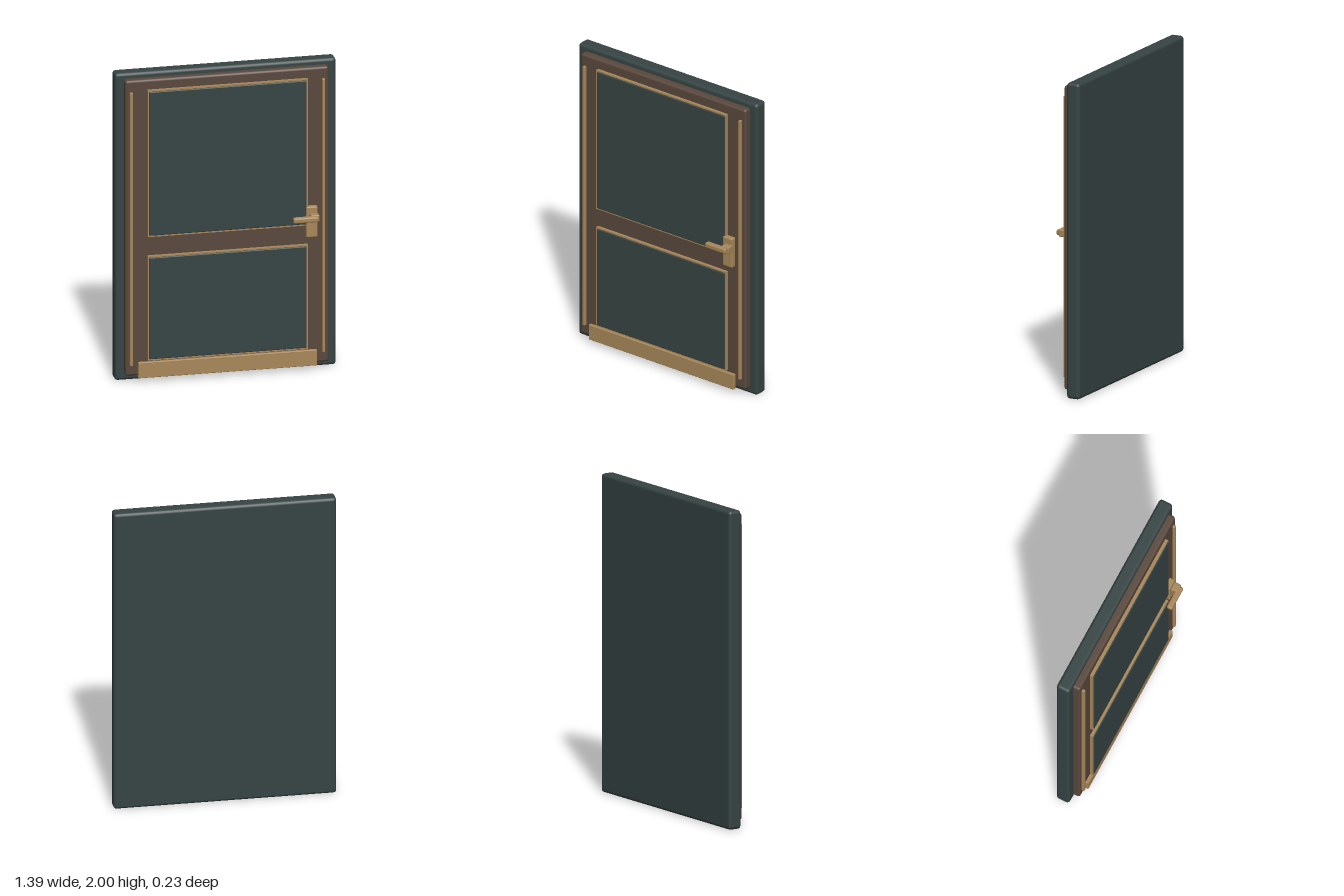
import * as THREE from 'three';
import { RoundedBoxGeometry } from 'three/addons/geometries/RoundedBoxGeometry.js';

const material = (name, color) => {
  const m = new THREE.MeshStandardMaterial({ color });
  m.name = name;
  return m;
};

export function createModel() {
  const door = new THREE.Group();
  door.name = 'door';
  const slate = material('dark slate', 0x364443);
  const wood = material('brown wood', 0x5a483d);
  const brass = material('aged brass', 0xa9885a);

  // Rounded block given by its extents on each axis
  const block = (name, mat, [x0, x1], [y0, y1], [z0, z1], radius, parent = door) => {
    const mesh = new THREE.Mesh(new RoundedBoxGeometry(x1 - x0, y1 - y0, z1 - z0, 2, radius), mat);
    mesh.position.set((x0 + x1) / 2, (y0 + y1) / 2, (z0 + z1) / 2);
    mesh.name = name;
    parent.add(mesh);
    return mesh;
  };

  // Rectangular trim ring around a panel
  const trim = (name, w, y0, y1, t, z0, z1) => {
    const shape = new THREE.Shape([[-w, y0], [w, y0], [w, y1], [-w, y1]].map(p => new THREE.Vector2(...p)));
    const v = w - t;
    shape.holes.push(new THREE.Path([[-v, y0 + t], [-v, y1 - t], [v, y1 - t], [v, y0 + t]].map(p => new THREE.Vector2(...p))));
    const mesh = new THREE.Mesh(new THREE.ExtrudeGeometry(shape, { depth: z1 - z0, bevelEnabled: false }), brass);
    mesh.position.z = z0;
    mesh.name = name;
    door.add(mesh);
  };

  // Back slab and raised leaf
  block('outerFrame', slate, [-0.695, 0.695], [0, 2], [-0.117, -0.027], 0.02);
  block('doorLeaf', wood, [-0.64, 0.64], [0.04, 1.965], [-0.04, 0.018], 0.016);

  // Two inset panels with brass trim
  for (const [name, y0, y1] of [['upper', 0.945, 1.9], ['lower', 0.14, 0.82]]) {
    trim(name + 'PanelTrim', 0.503, y0, y1, 0.016, 0.01, 0.038);
    block(name + 'Panel', slate, [-0.495, 0.495], [y0 + 0.009, y1 - 0.009], [0.005, 0.045], 0.006);
  }

  // Vertical side strips
  for (const side of [-1, 1]) {
    const x = side * 0.604;
    block(side > 0 ? 'leftStrip' : 'rightStrip', brass, [x - 0.009, x + 0.009], [0.11, 1.89], [0.01, 0.036], 0.004);
  }

  // Kick plate
  block('kickPlate', brass, [-0.562, 0.562], [0.028, 0.13], [0.014, 0.038], 0.004);

  // Handle: backplate, spindle and lever
  const handle = new THREE.Group();
  handle.name = 'handle';
  door.add(handle);
  block('backplate', brass, [0.49, 0.562], [0.87, 1.07], [0.015, 0.054], 0.008, handle);
  block('spindle', brass, [0.51, 0.565], [0.982, 1.028], [0.045, 0.095], 0.007, handle);
  block('lever', brass, [0.398, 0.555], [0.988, 1.022], [0.08, 0.116], 0.009, handle);

  return door;
}
